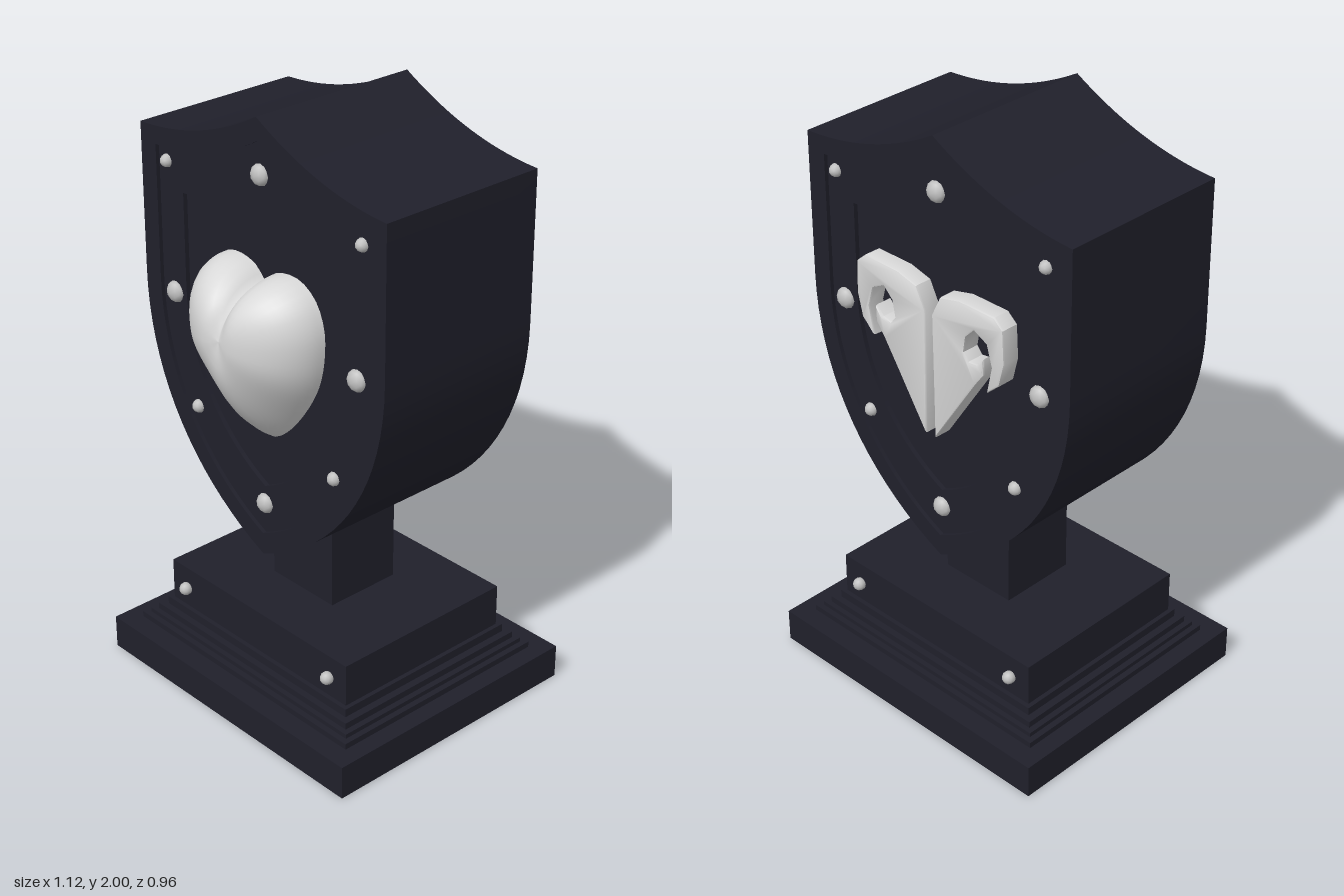
import * as THREE from 'three';
import { toCreasedNormals } from 'three/addons/utils/BufferGeometryUtils.js';

const dark = new THREE.MeshStandardMaterial({ color: 0x20202b });
dark.name = 'dark navy';
const pale = new THREE.MeshStandardMaterial({ color: 0xd8d8d8 });
pale.name = 'pale grey';
const stud = new THREE.MeshStandardMaterial({ color: 0xc0c0c0 });
stud.name = 'stud grey';

// Heater shield outline: half width, peak, corner and bottom heights
function shieldShape(w, peak, corner, bottom) {
  const side = 1.35, h = side - bottom;
  const s = new THREE.Shape();
  s.moveTo(0, peak);
  s.quadraticCurveTo(-w * 0.48, corner + 0.01, -w, corner);
  s.lineTo(-w, side);
  s.bezierCurveTo(-w, bottom + 0.54 * h, -w * 0.61, bottom + 0.18 * h, 0, bottom);
  s.bezierCurveTo(w * 0.61, bottom + 0.18 * h, w, bottom + 0.54 * h, w, side);
  s.lineTo(w, corner);
  s.quadraticCurveTo(w * 0.48, corner + 0.01, 0, peak);
  return s;
}

// Extrusion centred on z = 0
function slab(shape, halfDepth) {
  const g = new THREE.ExtrudeGeometry(shape, { depth: halfDepth * 2, bevelEnabled: false, curveSegments: 18 });
  g.translate(0, 0, -halfDepth);
  return toCreasedNormals(g, 0.5);
}

// Puffed heart made of rings shrinking towards its centre
function heartGeometry() {
  const half = new THREE.CatmullRomCurve3([
    [0, 1.475], [0.04, 1.517], [0.1, 1.535], [0.16, 1.53], [0.22, 1.49], [0.254, 1.42],
    [0.26, 1.34], [0.24, 1.23], [0.19, 1.13], [0.1, 1.015], [0.035, 0.967], [0, 0.962],
  ].map(([x, y]) => new THREE.Vector3(x, y, 0))).getSpacedPoints(28);
  const mirrored = half.slice(1, -1).reverse().map((p) => new THREE.Vector3(-p.x, p.y, 0));
  const outline = [...half, ...mirrored];
  const n = outline.length, rings = 14, cy = 1.34;
  const pos = [], idx = [];
  for (let i = 0; i <= rings; i++) {
    const r = Math.cos((i / rings) * Math.PI / 2);
    for (let j = 0; j < n; j++) {
      const p = outline[j];
      const x = p.x * r, y = cy + (p.y - cy) * r;
      const power = 0.5 + 0.4 * THREE.MathUtils.smoothstep(1.3 - p.y, 0, 0.33);
      const dome = Math.pow(Math.max(0, 1 - r * r), power);
      const crease = 0.03 * Math.exp(-((x / 0.035) ** 2)) * THREE.MathUtils.smoothstep(y, 1.2, 1.42);
      pos.push(x, y, 0.27 + 0.21 * dome - crease * dome);
      if (i < rings) {
        const k = (j + 1) % n, a = i * n + j, b = i * n + k;
        idx.push(a, a + n, b, b, a + n, b + n);
      }
    }
  }
  const g = new THREE.BufferGeometry();
  g.setAttribute('position', new THREE.Float32BufferAttribute(pos, 3));
  g.setIndex(idx);
  g.computeVertexNormals();
  return g;
}

// One half of the curled horn ornament
function hornGeometry(side) {
  const pts = [
    [0.02, 1.01], [0.015, 1.44], [0.05, 1.51], [0.13, 1.53], [0.27, 1.53], [0.305, 1.5],
    [0.31, 1.39], [0.29, 1.31], [0.24, 1.265], [0.26, 1.36], [0.24, 1.43], [0.19, 1.455],
    [0.155, 1.42], [0.145, 1.365], [0.165, 1.34], [0.2, 1.345], [0.228, 1.375], [0.228, 1.32], [0.195, 1.275],
  ].map(([x, y]) => new THREE.Vector2(x * side, y));
  const g = new THREE.ExtrudeGeometry(new THREE.Shape(pts), {
    depth: 0.055, bevelThickness: 0.008, bevelSize: 0.006, bevelOffset: -0.006, bevelSegments: 2,
  });
  g.translate(0, 0, -0.325);
  return toCreasedNormals(g, 0.7);
}

export function createModel() {
  const model = new THREE.Group();
  model.name = 'shieldTrophy';

  const add = (name, geometry, material, parent = model) => {
    const mesh = new THREE.Mesh(geometry, material);
    mesh.name = name;
    parent.add(mesh);
    return mesh;
  };
  const block = (name, w, d, y0, y1) => {
    const m = add(name, new THREE.BoxGeometry(w, y1 - y0, d), dark);
    m.position.y = (y0 + y1) / 2;
  };

  // Stepped base and stem
  block('plinth', 1.12, 0.96, 0, 0.115);
  [[1.0, 0.82, 0.135], [0.96, 0.78, 0.15], [0.92, 0.745, 0.172], [0.87, 0.7, 0.2]]
    .forEach(([w, d, top], i) => block('baseStep' + (i + 1), w, d, 0.11, top));
  block('upperBase', 0.84, 0.67, 0.19, 0.345);
  block('stem', 0.28, 0.27, 0.34, 0.625);

  // Shield in three levels: raised rim, studded band, sunken panel
  const shield = new THREE.Group();
  shield.name = 'shield';
  model.add(shield);
  const outer = [0.54, 2.0, 1.84, 0.545];
  const band = [0.47, 1.925, 1.785, 0.62];
  const panel = [0.36, 1.745, 1.655, 0.785];
  const ring = (a, b) => {
    const s = shieldShape(...a);
    s.holes.push(shieldShape(...b));
    return s;
  };
  add('shieldRim', slab(ring(outer, band), 0.3), dark, shield);
  add('shieldBand', slab(ring(band, panel), 0.287), dark, shield);
  add('shieldPanel', slab(shieldShape(...panel), 0.272), dark, shield);

  // Heart on the front, curled horns on the back
  add('heart', heartGeometry(), pale);
  add('leftHorn', hornGeometry(1), pale);
  add('rightHorn', hornGeometry(-1), pale);

  // Rough studs on both faces of the shield and base
  const studGeometry = new THREE.IcosahedronGeometry(1, 1);
  const addStud = (name, x, y, z, r, depth) => {
    const m = add(name, studGeometry, stud);
    m.position.set(x, y, z);
    m.scale.set(r, r, depth);
  };
  for (const face of [1, -1]) {
    addStud('topStud', 0, 1.82, face * 0.286, 0.035, 0.027);
    addStud('bottomStud', 0, 0.725, face * 0.286, 0.034, 0.027);
    for (const side of [1, -1]) {
      addStud('cornerStud', side * 0.432, 1.74, face * 0.286, 0.022, 0.025);
      addStud('sideStud', side * 0.412, 1.31, face * 0.286, 0.036, 0.027);
      addStud('lowerStud', side * 0.315, 0.945, face * 0.286, 0.023, 0.025);
      addStud('baseStud', side * 0.345, 0.27, face * 0.345, 0.022, 0.023);
    }
  }
  return model;
}
